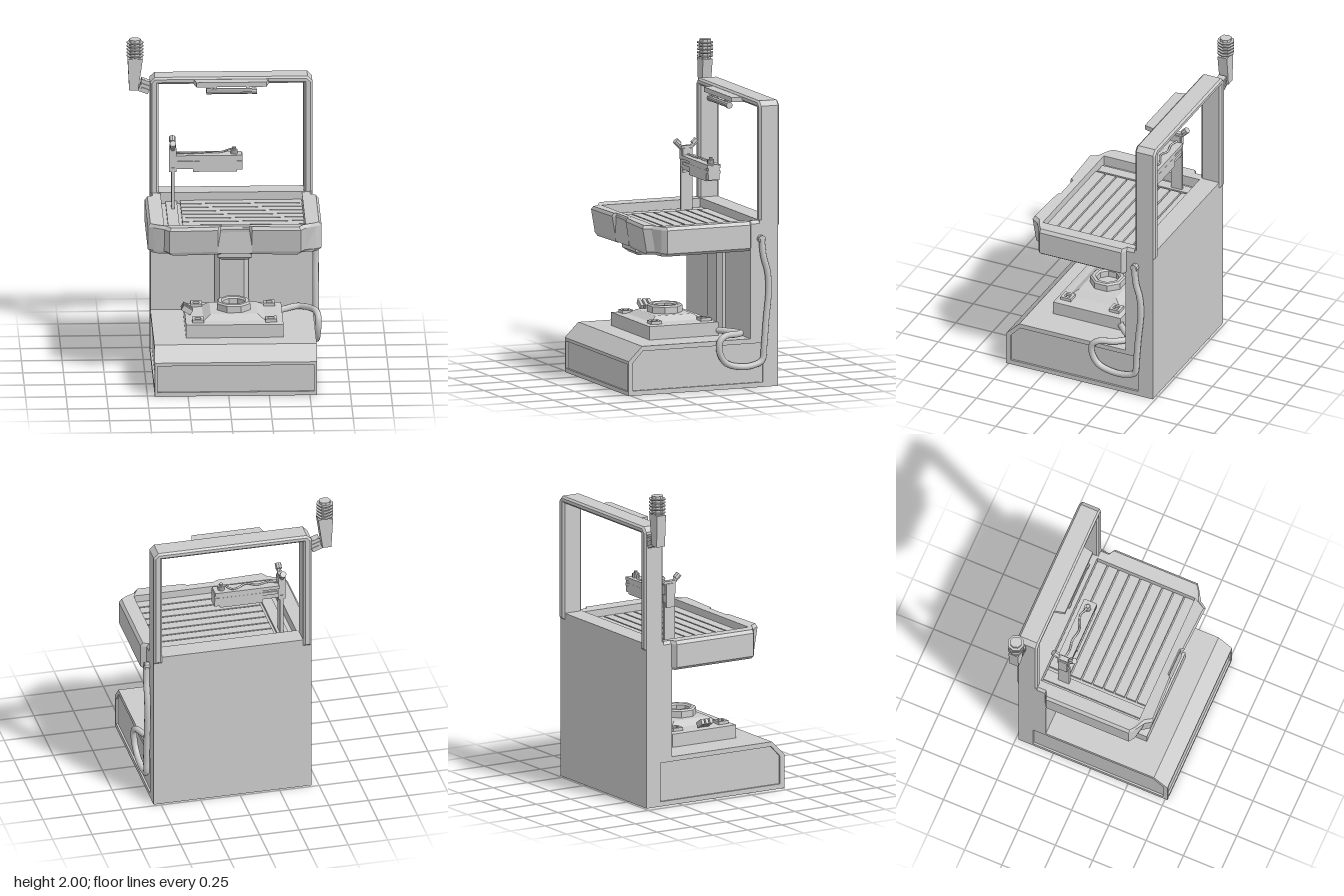
import * as THREE from 'three';

const CX = 0.045; // the body's own mirror plane
const flat = new THREE.MeshStandardMaterial({ color: 0xcccccc, flatShading: true, side: THREE.DoubleSide });
const smooth = new THREE.MeshStandardMaterial({ color: 0xcccccc, side: THREE.DoubleSide });

export function createModel() {
  const model = new THREE.Group();

  const add = (name, geo, mat = flat) => {
    const m = new THREE.Mesh(geo, mat);
    m.name = name;
    model.add(m);
    return m;
  };
  // box given by its limits
  const box = (name, x0, x1, y0, y1, z0, z1) => {
    const m = add(name, new THREE.BoxGeometry(x1 - x0, y1 - y0, z1 - z0));
    m.position.set((x0 + x1) / 2, (y0 + y1) / 2, (z0 + z1) / 2);
    return m;
  };
  const cyl = (name, r, h, x, y, z, n = 8) => {
    const m = add(name, new THREE.CylinderGeometry(r, r, h, n));
    m.position.set(x, y, z);
    return m;
  };
  const shape = (pts, hole) => {
    const s = new THREE.Shape(pts.map(p => new THREE.Vector2(...p)));
    if (hole) s.holes.push(new THREE.Path(hole.map(p => new THREE.Vector2(...p))));
    return s;
  };
  const plate = (pts, hole, depth) => new THREE.ExtrudeGeometry(shape(pts, hole), { depth, bevelEnabled: false });
  const rect = (x0, x1, y0, y1) => [[x0, y0], [x1, y0], [x1, y1], [x0, y1]];
  // skin between horizontal loops, counter-clockwise from above, bottom to top
  const loft = (loops, capBottom, capTop) => {
    const v = [], n = loops[0].length;
    const cap = (loop, up) => {
      const c = [0, 1, 2].map(k => loop.reduce((s, p) => s + p[k], 0) / n);
      loop.forEach((p, i) => {
        const q = loop[(i + 1) % n];
        v.push(...c, ...(up ? p : q), ...(up ? q : p));
      });
    };
    for (let l = 0; l < loops.length - 1; l++) for (let i = 0; i < n; i++) {
      const j = (i + 1) % n, [a, b, c, d] = [loops[l][i], loops[l][j], loops[l + 1][j], loops[l + 1][i]];
      v.push(...a, ...b, ...c, ...a, ...c, ...d);
    }
    if (capBottom) cap(loops[0], false);
    if (capTop) cap(loops[loops.length - 1], true);
    const g = new THREE.BufferGeometry();
    g.setAttribute('position', new THREE.Float32BufferAttribute(v, 3));
    g.computeVertexNormals();
    return g;
  };
  const rectLoop = (x0, x1, z0, z1, y) => [[x0, y, z0], [x0, y, z1], [x1, y, z1], [x1, y, z0]];
  const tube = (name, pts, r, n) => add(name, new THREE.TubeGeometry(
    new THREE.CatmullRomCurve3(pts.map(p => new THREE.Vector3(...p))), n, r, 10), smooth);

  // Base: hollow shell, open underneath, with inset panels
  const t = 0.012, L = -0.455, R = 0.545;
  const side = [[-0.485, 0], [0.515, 0], [0.515, 0.215], [0.425, 0.305], [-0.485, 0.305]];
  const inset = [[-0.385, 0.03], [0.485, 0.03], [0.485, 0.205], [0.42, 0.275], [-0.385, 0.275]];
  for (const [x, px] of [[L, L + t], [R - t, R - 1.5 * t]]) {
    const w = add('baseSideFrame', plate(side, inset, t));
    w.rotation.y = -Math.PI / 2; // shape x becomes z
    w.position.x = x + t;
    const p = add('baseSidePanel', plate(inset, null, t / 2));
    p.rotation.y = -Math.PI / 2;
    p.position.x = px + t / 2;
  }
  add('baseFrontFrame', plate(rect(L, R, 0, 0.215), rect(-0.437, 0.527, 0.025, 0.195), t)).position.z = 0.515 - t;
  box('baseFrontPanel', -0.437, 0.527, 0.025, 0.195, 0.497, 0.503);
  const slope = add('baseSlope', plate(rect(L, R, 0, 0.1273), null, t));
  slope.rotation.x = -Math.PI / 4;
  slope.position.set(0, 0.215 - t * 0.707, 0.515 - t * 0.707);
  const top = add('baseTop', plate(rect(L, R, -0.425, 0.485), rect(-0.245, 0.335, -0.28, 0.16), t));
  top.rotation.x = -Math.PI / 2;
  top.position.y = 0.305 - t;
  box('baseBack', L, R, 0, 0.305, -0.485, -0.473);

  // Rear wall and central column
  box('rearWall', L, R, 0.3, 0.875, -0.485, -0.3);
  box('rearWallTop', L, R, 0.875, 1.04, -0.485, -0.36);
  const colLoop = y => [[-0.06, y, -0.31], [-0.06, y, -0.28], [-0.03, y, -0.255], [0.12, y, -0.255], [0.15, y, -0.28], [0.15, y, -0.31]];
  add('column', loft([colLoop(0.3), colLoop(0.83)], true, true));
  add('traySupport', loft([rectLoop(-0.03, 0.12, -0.3, 0.27, 0.8),
    rectLoop(-0.06, 0.15, -0.3, 0.3, 0.825), rectLoop(-0.06, 0.15, -0.3, 0.3, 0.87)], true, true));

  // Tray: faceted rim around a sunken floor
  const half = [[-0.455, -0.36], [-0.455, -0.305], [-0.49, -0.285], [-0.49, 0.27], [-0.455, 0.295],
    [-0.39, 0.335], [-0.36, 0.38], [-0.06, 0.367], [-0.045, 0.35]];
  const outline = [...half, ...half.slice().reverse().map(([x, z]) => [2 * CX - x, z])];
  const ring = (y, s, dz) => outline.map(([x, z]) => [CX + (x - CX) * s, y, z > 0.3 ? z - dz : z]);
  const inner = y => outline.map(([x, z]) => [
    THREE.MathUtils.clamp(x, -0.39, 0.48), y, THREE.MathUtils.clamp(z, -0.36, 0.295)]);
  add('tray', loft([ring(0.855, 0.95, 0.035), ring(0.875, 1, 0.025), ring(1.02, 1, 0),
    ring(1.04, 0.97, 0.01), inner(1.035), inner(0.97)], true, true));
  box('trayFrontBlock', -0.06, 0.15, 0.865, 1.03, 0.3, 0.347);
  for (let i = 0; i < 9; i++) {
    const z = -0.358 + i * 0.0735;
    box('traySlat', -0.27, 0.478, 0.965, 0.99, z, z + 0.064);
  }
  box('trayStrip', -0.36, -0.29, 0.965, 0.985, -0.358, 0.29);

  // Upright frame, an open arch, with a visor and a light bar
  const c = 0.03;
  const arch = [[L, 1], [-0.402, 1], [-0.402, 1.737], [0.492, 1.737], [0.492, 1], [R, 1],
    [R, 1.78 - c], [R - c, 1.78], [L + c, 1.78], [L, 1.78 - c]];
  const frame = add('frame', new THREE.ExtrudeGeometry(shape(arch),
    { depth: 0.113, bevelThickness: 0.012, bevelSize: 0.012, bevelOffset: -0.012, bevelSegments: 1 }));
  frame.position.z = -0.485;
  // flush back edge closing the rear bevel
  add('frameBack', plate(arch, null, 0.02)).position.z = -0.485;
  const visor = add('visor', plate([[-0.19, 0.38], [-0.17, 0.295], [0.26, 0.295], [0.28, 0.38]], null, 0.03));
  visor.rotation.x = -Math.PI / 2;
  visor.position.y = 1.737;
  cyl('lightBar', 0.018, 0.25, CX, 1.708, -0.307, 10).rotation.z = Math.PI / 2;
  for (const s of [-1, 1]) {
    cyl('lightBarEnd', 0.021, 0.03, CX + s * 0.14, 1.708, -0.307, 10).rotation.z = Math.PI / 2;
    box('lightBarHanger', CX + s * 0.1 - 0.01, CX + s * 0.1 + 0.01, 1.71, 1.74, -0.315, -0.3);
  }

  // Beacon on the frame corner
  add('beaconHolder', loft([rectLoop(-0.58, -0.525, -0.49, -0.43, 1.68),
    rectLoop(-0.59, -0.497, -0.492, -0.428, 1.88)], true, true));
  cyl('beaconCore', 0.037, 0.12, -0.544, 1.94, -0.462);
  for (let i = 0; i < 5; i++) cyl('beaconFin', 0.053, 0.006, -0.544, 1.895 + i * 0.021, -0.462);
  const bracket = box('beaconBracket', -0.515, -0.45, 1.66, 1.74, -0.48, -0.44);
  bracket.rotation.z = -0.35;
  for (let i = 0; i < 3; i++) box('bracketRib', -0.508, -0.46, 1.675 + i * 0.026, 1.69 + i * 0.026, -0.485, -0.432).rotation.z = -0.35;

  // Swing arm with its post, clamp and wire
  box('armPost', -0.328, -0.308, 0.97, 1.25, -0.275, -0.2);
  box('armClamp', -0.342, -0.298, 1.22, 1.37, -0.268, -0.208);
  box('clampHead', -0.335, -0.305, 1.3, 1.385, -0.275, -0.2);
  for (const s of [-1, 1]) {
    cyl('clampProng', 0.014, 0.07, -0.32, 1.375, -0.237 + s * 0.035).rotation.x = s * 0.8;
    cyl('clampKnob', 0.02, 0.035, -0.32, 1.405, -0.237 + s * 0.058).rotation.x = s * 0.8;
  }
  box('armBody', -0.3, 0.1, 1.24, 1.32, -0.277, -0.208);
  box('armTopRail', -0.3, 0.105, 1.305, 1.327, -0.287, -0.2);
  box('armMidRail', -0.29, 0.108, 1.27, 1.29, -0.285, -0.202);
  box('armHousing', -0.195, 0.075, 1.222, 1.315, -0.284, -0.203);
  box('armTip', 0.06, 0.11, 1.232, 1.322, -0.28, -0.206);
  cyl('armKnob', 0.022, 0.03, 0.058, 1.338, -0.242, 10);
  cyl('armKnobTop', 0.012, 0.025, 0.058, 1.355, -0.242, 10);
  tube('armWire', [[-0.31, 1.33, -0.247], [-0.24, 1.335, -0.235], [-0.17, 1.33, -0.245], [-0.1, 1.34, -0.232],
    [-0.04, 1.33, -0.255], [0, 1.335, -0.265], [0.03, 1.35, -0.25], [0.058, 1.36, -0.242]], 0.006, 50);

  // Work platform: hollow stepped block with an octagonal socket
  const P = (hx, hz, y) => rectLoop(CX - hx, CX + hx, 0.06 - hz, 0.06 + hz, y);
  add('platform', loft([P(0.3, 0.23, 0.3), P(0.3, 0.23, 0.388), P(0.275, 0.205, 0.392),
    P(0.19, 0.17, 0.394), P(0.145, 0.125, 0.425)], false, true));
  const socket = add('socket', new THREE.LatheGeometry([[0.11, 0.42], [0.11, 0.465], [0.1, 0.475], [0.08, 0.475],
    [0.07, 0.465], [0.07, 0.426]].map(p => new THREE.Vector2(...p)), 8, Math.PI / 8));
  socket.position.set(CX, 0, 0.06);
  for (const sx of [-1, 1]) for (const sz of [-1, 1]) {
    const x = CX + sx * 0.225, z = 0.06 + sz * 0.165;
    const pad = add('cornerPad', plate(rect(-0.035, 0.035, -0.035, 0.035), rect(-0.018, 0.018, -0.018, 0.018), 0.025));
    pad.rotation.x = -Math.PI / 2;
    pad.position.set(x, 0.387, z);
    box('padBolt', x - 0.01, x + 0.01, 0.387, 0.402, z - 0.01, z + 0.01);
  }
  for (let i = 0; i < 3; i++) {
    const z = 0.03 + i * 0.03;
    box('leverFin', -0.275, -0.21, 0.41, 0.445, z, z + 0.02).rotation.z = -0.55;
  }

  // Hose from the platform, looping up the side
  tube('hose', [[0.3, 0.335, -0.14], [0.37, 0.335, -0.2], [0.45, 0.33, -0.27], [0.52, 0.335, -0.22], [0.565, 0.335, -0.12],
    [0.572, 0.305, -0.085], [0.57, 0.24, -0.083], [0.565, 0.17, -0.125], [0.562, 0.138, -0.22], [0.562, 0.142, -0.31],
    [0.563, 0.17, -0.37], [0.566, 0.26, -0.382], [0.566, 0.42, -0.395], [0.566, 0.6, -0.412], [0.566, 0.72, -0.405],
    [0.565, 0.82, -0.378], [0.562, 0.93, -0.367]], 0.02, 120);
  cyl('hosePlug', 0.024, 0.04, 0.555, 0.925, -0.367, 10).rotation.z = Math.PI / 2;
  return model;
}
